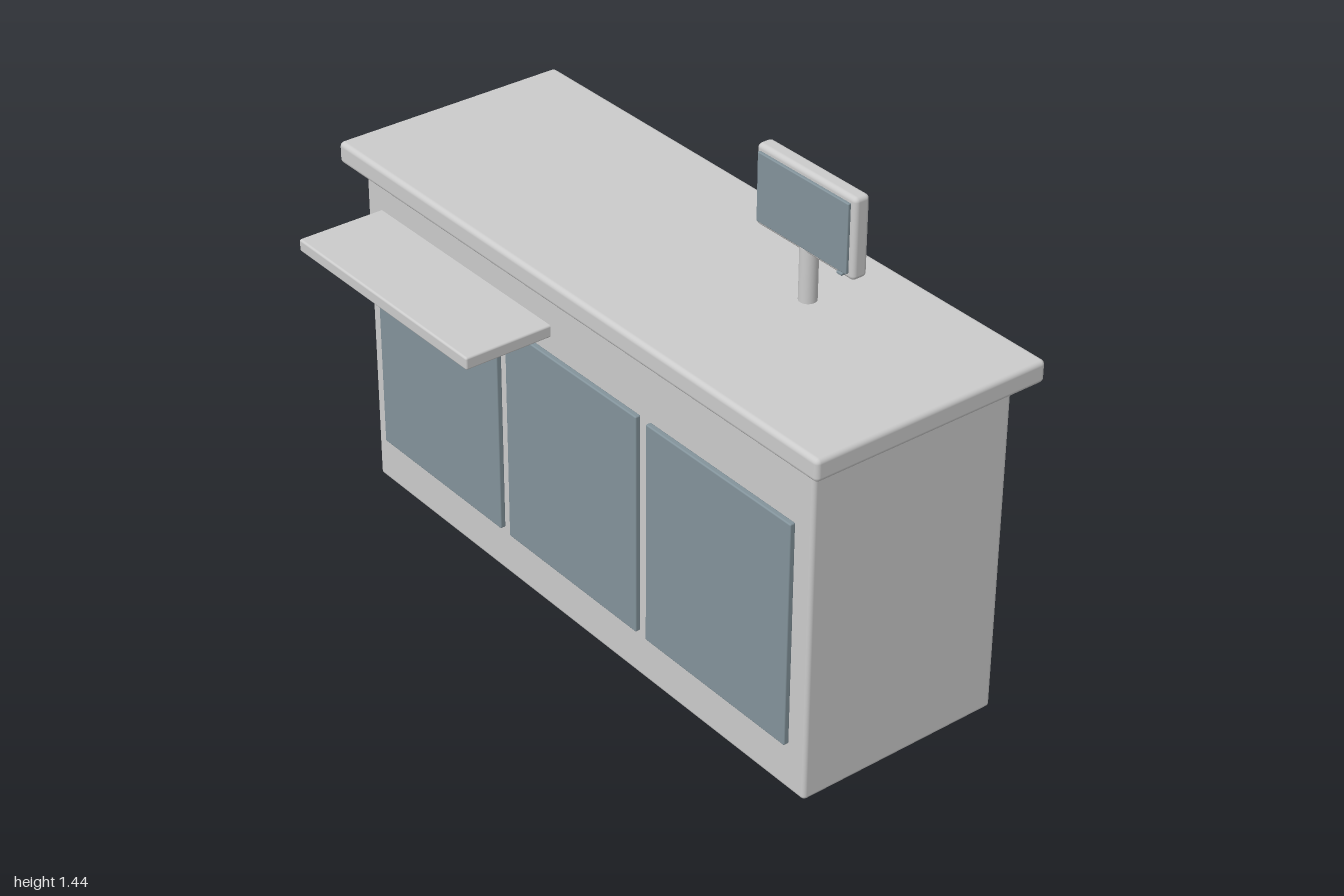
import * as THREE from 'three';
import { RoundedBoxGeometry } from 'three/addons/geometries/RoundedBoxGeometry.js';

export function createModel() {
  const model = new THREE.Group();
  model.name = 'serviceCounter';
  const grey = new THREE.MeshStandardMaterial({ color: 0xcccccc });
  const slate = new THREE.MeshStandardMaterial({ color: 0x83939b });

  // Rounded block given by its extents on each axis
  function block(name, [x0, x1], [y0, y1], [z0, z1], radius, material = grey) {
    const geometry = new RoundedBoxGeometry(x1 - x0, y1 - y0, z1 - z0, 3, radius);
    const mesh = new THREE.Mesh(geometry, material);
    mesh.name = name;
    mesh.position.set((x0 + x1) / 2, (y0 + y1) / 2, (z0 + z1) / 2);
    model.add(mesh);
    return mesh;
  }

  // Cabinet, base plate and worktop
  block('cabinet', [-0.94, 0.94], [0.002, 0.992], [-0.425, 0.21], 0.012);
  block('basePlate', [-0.925, 0.925], [0, 0.05], [-0.424, 0.19], 0.003, slate);
  block('worktop', [-1, 1], [1.005, 1.07], [-0.475, 0.256], 0.014);

  // Three front panels
  for (let i = -1; i <= 1; i++) {
    const x = i * 0.6;
    block('frontPanel', [x - 0.28, x + 0.28], [0.15, 0.816], [0.211, 0.228], 0.004, slate);
  }

  // Ledge on the customer side
  block('ledge', [-0.875, -0.1], [0.86, 0.897], [0.2, 0.475], 0.006);

  // Display on its post
  const post = new THREE.Mesh(new THREE.CylinderGeometry(0.025, 0.025, 0.16, 24), grey);
  post.name = 'displayPost';
  post.position.set(0.425, 1.145, -0.204);
  model.add(post);
  block('displayHousing', [0.24, 0.614], [1.213, 1.443], [-0.23, -0.182], 0.013);
  block('displayScreen', [0.255, 0.597], [1.23, 1.426], [-0.183, -0.173], 0.003, slate);
  block('displayIndicator', [0.565, 0.585], [1.222, 1.229], [-0.184, -0.17], 0.002, slate);

  return model;
}
